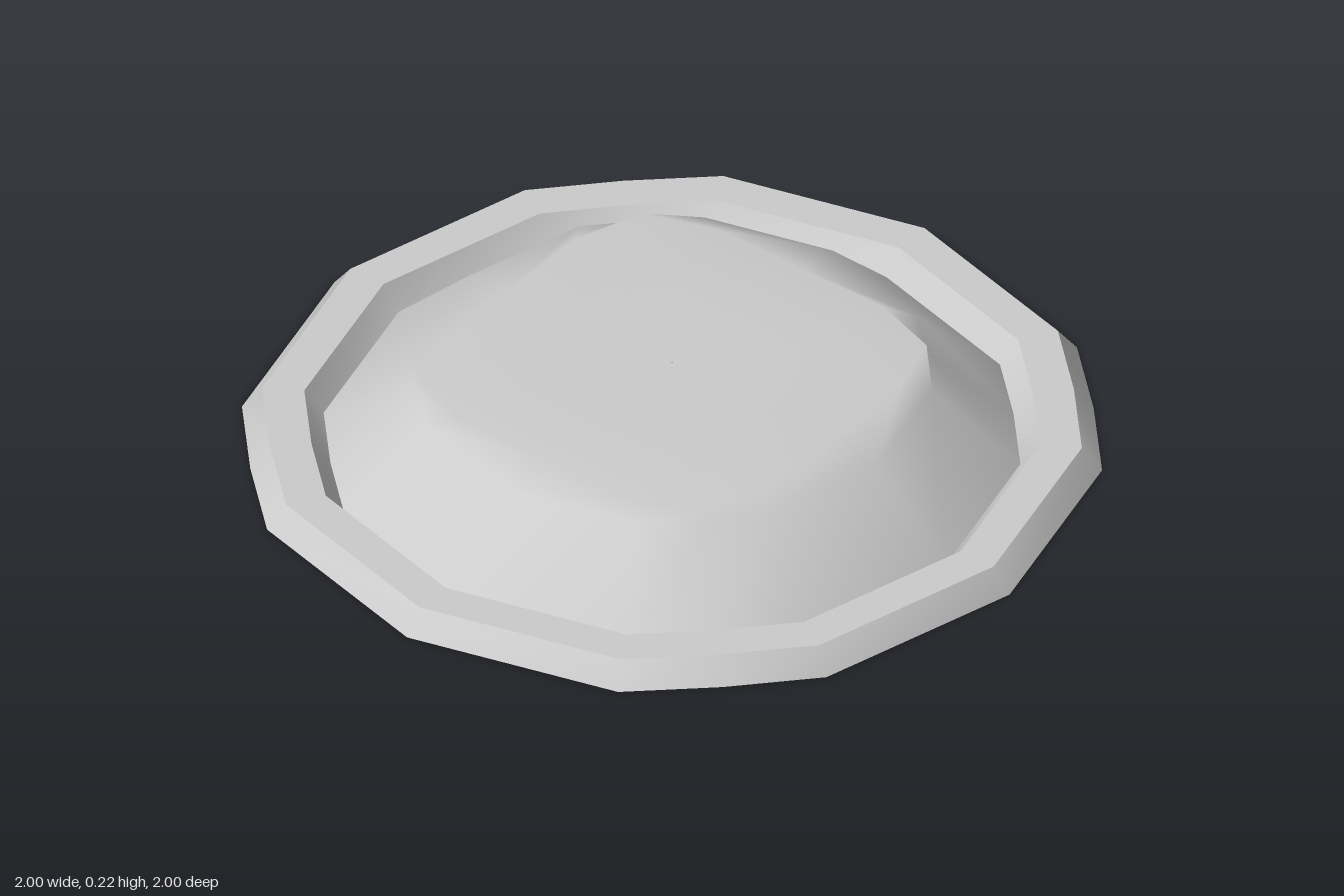
import * as THREE from 'three';

// One quadrant of the twelve-sided outline, with a point in the middle of each diagonal side
const OUTLINE = [[1, 0], [0.866, 0.52], [0.7, 0.7], [0.52, 0.866]];
// Squarer outline for the flat crown
const CROWN = [[1, 0], [1, 0.52], [0.88, 0.88], [0.52, 1]];

// Repeat a quadrant around y to get a closed ring of points
function ring(quadrant, radius, y) {
  const points = [];
  for (let q = 0; q < 4; q++) {
    for (const [a, b] of quadrant) {
      let x = a, z = b;
      for (let k = 0; k < q; k++) [x, z] = [-z, x];
      points.push(new THREE.Vector3(x * radius, y, z * radius));
    }
  }
  return points;
}

// Join rings, listed from outside to inside, into one smooth surface
function loft(name, rings, material) {
  const n = rings[0].length;
  const index = [];
  for (let r = 0; r < rings.length - 1; r++) {
    for (let i = 0; i < n; i++) {
      const j = (i + 1) % n;
      const a = r * n + i, a2 = r * n + j, b = a + n, b2 = a2 + n;
      index.push(a, b, a2, a2, b, b2);
    }
  }
  const geometry = new THREE.BufferGeometry().setFromPoints(rings.flat());
  geometry.setIndex(index);
  geometry.computeVertexNormals();
  const mesh = new THREE.Mesh(geometry, material);
  mesh.name = name;
  return mesh;
}

export function createModel() {
  const group = new THREE.Group();
  group.name = 'domedLid';
  const material = new THREE.MeshStandardMaterial({ color: 0xcccccc, side: THREE.DoubleSide });

  // Raised rim: three bands with sharp edges between them
  const rimProfile = [[1, 0], [0.953, 0.06], [0.855, 0.06], [0.81, 0]];
  ['rimOuterSlope', 'rimTop', 'rimInnerSlope'].forEach((name, i) => {
    const rings = [rimProfile[i], rimProfile[i + 1]].map(([r, y]) => ring(OUTLINE, r, y));
    group.add(loft(name, rings, material));
  });

  // Dome rising from the foot of the rim to a flat, slightly square crown
  group.add(loft('dome', [
    ring(OUTLINE, 0.81, 0),
    ring(OUTLINE, 0.605, 0.195),
    ring(CROWN, 0.48, 0.217),
    ring(CROWN, 0.24, 0.218),
    ring(CROWN, 0.001, 0.218),
  ], material));

  return group;
}
